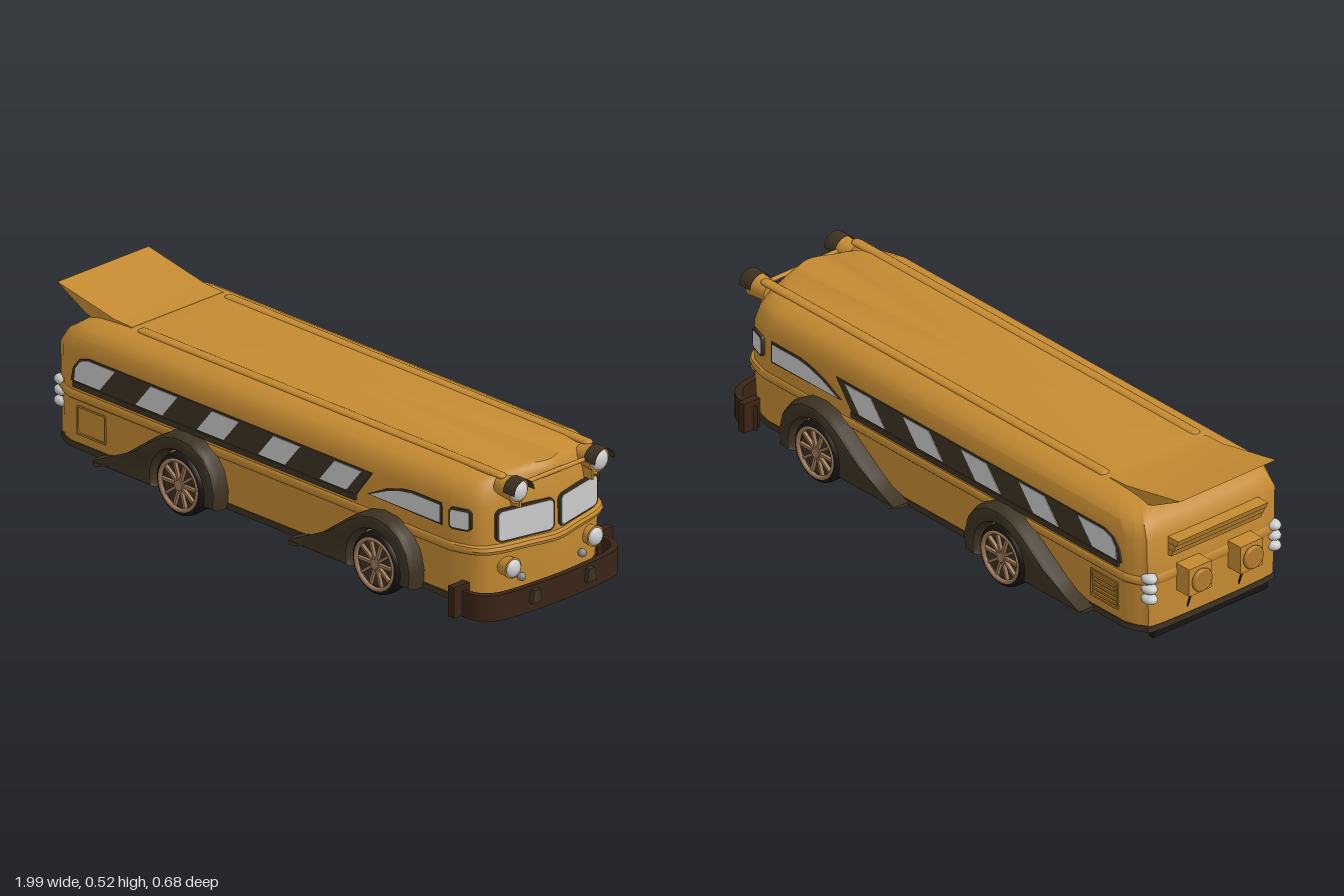
import * as THREE from 'three';
import { toCreasedNormals } from 'three/addons/utils/BufferGeometryUtils.js';

const mat = (color) => new THREE.MeshStandardMaterial({ color });
const yellow = mat(0xc48a32), amber = mat(0xb07a2a), brown = mat(0x3d3222), rust = mat(0x3a2416);
const black = mat(0x171513), grey = mat(0xcccccc), tan = mat(0xa07a58), steel = mat(0x8c8680);
const V2 = (x, y) => new THREE.Vector2(x, y);
const SIDES = [1, -1];

export function createModel() {
  const bus = new THREE.Group();
  bus.name = 'bus';

  const add = (name, geo, material, x = 0, y = 0, z = 0, parent = bus) => {
    const m = new THREE.Mesh(geo, material);
    m.name = name;
    m.position.set(x, y, z);
    parent.add(m);
    return m;
  };
  const box = (name, material, [x0, x1], [y0, y1], [z0, z1]) =>
    add(name, new THREE.BoxGeometry(x1 - x0, y1 - y0, z1 - z0), material, (x0 + x1) / 2, (y0 + y1) / 2, (z0 + z1) / 2);
  const poly = (pts) => new THREE.Shape(pts.map(([x, y]) => V2(x, y)));
  // slab centred on z = 0, so it serves either side of the body
  const slab = (shape, depth, bevel = 0, bevelThickness = bevel, bevelOffset = 0, bevelSegments = 1) => {
    const g = new THREE.ExtrudeGeometry(shape, { depth, curveSegments: 16, bevelEnabled: bevel > 0,
      bevelSize: bevel, bevelThickness, bevelOffset, bevelSegments });
    g.translate(0, 0, -depth / 2);
    return toCreasedNormals(g, 0.6);
  };
  const roundRect = (w, h, r) => {
    const s = new THREE.Shape(), a = w / 2 - r, b = h / 2 - r;
    s.absarc(a, b, r, 0, Math.PI / 2);
    s.absarc(-a, b, r, Math.PI / 2, Math.PI);
    s.absarc(-a, -b, r, Math.PI, Math.PI * 1.5);
    s.absarc(a, -b, r, Math.PI * 1.5, Math.PI * 2);
    return s;
  };

  // plan outline: shallow V nose with round corners, softly rounded tail
  const outline = (xb, xf, hw) => {
    const nose = [[0.165, hw], [0.085, hw - 0.028], [0.047, hw - 0.082], [0.022, hw * 0.36]];
    const tail = [[0.08, hw], [0.025, hw - 0.025], [0, hw - 0.085]];
    const front = [...nose.map(([d, z]) => V2(xf - d, -z)), V2(xf, 0), ...nose.reverse().map(([d, z]) => V2(xf - d, z))];
    const back = [...tail.map(([d, z]) => V2(xb + d, z)), ...tail.reverse().map(([d, z]) => V2(xb + d, -z))];
    return [...new THREE.SplineCurve(front).getPoints(32), ...new THREE.SplineCurve(back).getPoints(20)];
  };
  // stack of outlines [y, back, front, half width]
  const loft = (levels) => {
    const rings = levels.map(([y, ...o]) => outline(...o).map((p) => [p.x, y, p.y]));
    const n = rings[0].length, pos = rings.flat(2), idx = [], top = rings.length - 1;
    for (let j = 0; j < top; j++) for (let i = 0; i < n; i++) {
      const a = j * n + i, b = j * n + (i + 1) % n;
      idx.push(a, a + n, b, b, a + n, b + n);
    }
    const c = n * rings.length;
    pos.push(0, levels[0][0], 0, 0, levels[top][0], 0);
    for (let i = 0; i < n; i++) {
      const k = (i + 1) % n;
      idx.push(c, i, k, c + 1, top * n + k, top * n + i);
    }
    const g = new THREE.BufferGeometry();
    g.setAttribute('position', new THREE.Float32BufferAttribute(pos, 3));
    g.setIndex(idx);
    return toCreasedNormals(g, 0.6);
  };

  // body shell, belt and skirt
  add('body', loft([[0.06, -0.91, 0.955, 0.281], [0.22, -0.91, 0.965, 0.285], [0.375, -0.91, 0.96, 0.288],
    [0.42, -0.885, 0.95, 0.278], [0.445, -0.85, 0.945, 0.255], [0.46, -0.81, 0.94, 0.225], [0.47, -0.74, 0.93, 0.185]]), yellow);
  add('belt', loft([[0.216, -0.91, 0.962, 0.283], [0.222, -0.913, 0.976, 0.289], [0.233, -0.915, 0.98, 0.291],
    [0.244, -0.913, 0.976, 0.289], [0.25, -0.91, 0.962, 0.284]]), yellow);
  add('skirt', loft([[0.058, -0.912, 0.96, 0.285], [0.078, -0.912, 0.96, 0.285]]), brown);

  // spoiler on the tail of the roof
  add('spoiler', slab(poly([[-0.98, 0.522], [-0.86, 0.458], [-0.8, 0.44], [-0.66, 0.44], [-0.66, 0.471], [-0.74, 0.475]]), 0.385), yellow);

  // wheel: tyre, dark disc, rim and spokes
  const tyreGeo = new THREE.LatheGeometry([[0.075, -0.03], [0.089, -0.03], [0.098, -0.022], [0.1, -0.01], [0.1, 0.01],
    [0.098, 0.022], [0.089, 0.03], [0.075, 0.03]].map(([x, y]) => V2(x, y)), 36).rotateX(Math.PI / 2);
  const tyreMat = new THREE.MeshStandardMaterial({ color: 0x171513, side: THREE.DoubleSide });
  const wheel = (x, side, dual) => {
    const w = new THREE.Group();
    w.name = 'wheel';
    w.position.set(x, 0.1, side * 0.303);
    bus.add(w);
    add('tyre', tyreGeo, tyreMat, 0, 0, 0, w);
    if (dual) add('innerTyre', tyreGeo, tyreMat, 0, 0, -side * 0.068, w);
    add('wheelDisc', new THREE.CylinderGeometry(0.078, 0.078, 0.03, 32).rotateX(Math.PI / 2), brown, 0, 0, 0, w);
    add('rim', new THREE.TorusGeometry(0.08, 0.007, 8, 36), tan, 0, 0, side * 0.026, w);
    add('hub', new THREE.CylinderGeometry(0.017, 0.017, 0.03, 16).rotateX(Math.PI / 2), tan, 0, 0, side * 0.015, w);
    for (let i = 0; i < 10; i++) {
      const a = i * Math.PI / 5;
      add('spoke', new THREE.BoxGeometry(0.068, 0.009, 0.012), tan, Math.cos(a) * 0.045, Math.sin(a) * 0.045, side * 0.02, w).rotation.z = a;
    }
  };

  // swept fender, drawn around a wheel at x = 0
  const fender = poly([[0.16, 0.06], [0.165, 0.12], [0.15, 0.18], [0.115, 0.228], [0.06, 0.258], [0, 0.265], [-0.055, 0.253],
    [-0.11, 0.222], [-0.25, 0.12], [-0.3, 0.09], [-0.37, 0.072], [-0.37, 0.06]]);
  const cut = Math.asin(0.04 / 0.108);
  fender.absarc(0, 0.1, 0.108, Math.PI + cut, -cut, true);
  const fenderGeo = slab(fender, 0.082, 0.018, 0.03, -0.018, 3);

  // window: glass slab over a wider dark frame, laid along a plan chord
  const windowPane = (name, shape, [x0, z0], [x1, z1], y = 0, depth = 0.012) => {
    const g = new THREE.Group();
    g.name = name;
    g.position.set((x0 + x1) / 2, y, (z0 + z1) / 2);
    g.rotation.y = Math.atan2(z0 - z1, x1 - x0);
    bus.add(g);
    add('frame', slab(shape, depth - 0.004, 0.007, 0.001), brown, 0, 0, 0, g);
    add('glass', slab(shape, depth), grey, 0, 0, 0, g);
  };
  const driverWindow = poly([[-0.15, 0.3], [0.15, 0.3], [0.15, 0.358], [0.03, 0.358], [-0.02, 0.35], [-0.08, 0.331]]);

  // lamp facing +x with a bezel and domed lens
  const lamp = (name, x, y, z, r, length, bezel = yellow) => {
    add(name, new THREE.CylinderGeometry(r, r * 0.8, length, 24).rotateZ(-Math.PI / 2), bezel, x - length / 2, y, z);
    add(name + 'Lens', new THREE.SphereGeometry(r * 0.84, 20, 12).scale(0.55, 1, 1), grey, x, y, z);
  };

  for (const s of SIDES) {
    for (const x of [0.52, -0.32]) {
      wheel(x, s, x < 0);
      add('fender', fenderGeo, brown, x, 0, s * 0.271);
    }
    const rail = add('roofRail', new THREE.CapsuleGeometry(0.018, 1.53, 4, 12).rotateZ(Math.PI / 2), yellow, 0.145, 0.467, s * 0.182);
    rail.scale.y = 0.55;

    // passenger window band with slanted light panes and a sill
    add('windowBand', slab(poly([[-0.822, 0.28], [0.4, 0.28], [0.47, 0.37], [-0.745, 0.37], [-0.785, 0.358], [-0.812, 0.325]]), 0.01), brown, 0, 0, s * 0.287);
    for (let i = 0; i < 5; i++) {
      const x = -0.805 + i * 0.263;
      const pts = i ? [[x, 0.285], [x + 0.115, 0.285], [x + 0.18, 0.364], [x + 0.065, 0.364]]
        : [[x, 0.285], [x + 0.11, 0.285], [x + 0.175, 0.364], [x + 0.06, 0.364], [x + 0.025, 0.352], [x + 0.005, 0.325]];
      add('passengerWindow', slab(poly(pts), 0.01), grey, 0, 0, s * 0.289);
    }
    box('windowSill', brown, [-0.81, 0.4], [0.262, 0.28], [s * 0.288 - 0.008, s * 0.288 + 0.008]);
    windowPane('driverWindow', driverWindow, [0.46, s * 0.287], [0.76, s * 0.287]);
    windowPane('cornerWindow', roundRect(0.062, 0.056, 0.008), [0.807, s * 0.289], [0.866, s * 0.269], 0.33, 0.014);
    windowPane('windshield', roundRect(0.194, 0.094, 0.015), [0.962, s * 0.013], [0.919, s * 0.208], 0.309, 0.016);

    // side hatch
    const hatch = roundRect(0.125, 0.095, 0.004);
    hatch.holes.push(roundRect(0.113, 0.083, 0.003));
    add('hatchFrame', slab(hatch, 0.008), amber, -0.74, 0.155, s * 0.284);

    // front lamps
    lamp('headlight', 0.955, 0.173, s * 0.173, 0.034, 0.05);
    lamp('roofLamp', 0.975, 0.432, s * 0.17, 0.04, 0.075);
    add('lampVisor', new THREE.CylinderGeometry(0.042, 0.042, 0.05, 20, 1, true, Math.PI, Math.PI).rotateZ(-Math.PI / 2),
      new THREE.MeshStandardMaterial({ color: 0x3d3222, side: THREE.DoubleSide }), 0.975, 0.432, s * 0.17);
    box('lampBracket', yellow, [0.92, 0.965], [0.368, 0.41], [s * 0.153 - 0.004, s * 0.153 + 0.004]);
    add('fogLamp', new THREE.SphereGeometry(0.014, 16, 10), steel, 0.945, 0.13, s * 0.128);

    // bumper ends and overriders
    box('bumperEnd', rust, [0.84, 0.866], [0.03, 0.13], [s * 0.303 - 0.032, s * 0.303 + 0.032]);
    add('overrider', slab(poly([[-0.02, 0.058], [0.02, 0.058], [0.012, 0.1], [-0.012, 0.1]]), 0.03).rotateY(Math.PI / 2), brown, 0.985, 0, s * 0.116);

    // rear lamps and round exhaust housings
    for (const y of [0.175, 0.21, 0.245]) add('tailLamp', new THREE.SphereGeometry(0.023, 16, 12).scale(1.25, 0.75, 1), grey, -0.902, y, s * 0.248);
    box('exhaustHousing', yellow, [-0.97, -0.9], [0.172, 0.265], [s * 0.103 - 0.045, s * 0.103 + 0.045]);
    add('exhaustRing', new THREE.TorusGeometry(0.031, 0.008, 8, 24).rotateY(Math.PI / 2), amber, -0.978, 0.218, s * 0.103);
    add('exhaustDisc', new THREE.CylinderGeometry(0.03, 0.03, 0.03, 24).rotateZ(Math.PI / 2), amber, -0.97, 0.218, s * 0.103);
    const strut = add('rearStrut', new THREE.CylinderGeometry(0.003, 0.003, 0.11, 6), black, -0.922, 0.13, s * 0.103);
    strut.rotation.z = 0.35;
  }

  // bar between the roof lamps
  add('lampBar', new THREE.CylinderGeometry(0.007, 0.007, 0.27, 10).rotateX(Math.PI / 2), yellow, 0.95, 0.437, 0);

  // wrap-around bumper
  const half = [[0.85, 0.302], [0.915, 0.297], [0.96, 0.262], [0.978, 0.2], [0.986, 0.1]];
  const arc = new THREE.SplineCurve([...half.map(([x, z]) => V2(x, -z)), V2(0.99, 0), ...half.reverse().map(([x, z]) => V2(x, z))]).getPoints(36);
  const band = new THREE.Shape([...arc, ...arc.map((p) => V2(p.x - 0.02, p.y * 0.955)).reverse()]);
  add('bumper', slab(band, 0.084).rotateX(Math.PI / 2), rust, 0, 0.069, 0);

  // louvres on one side hatch and across the upper tail
  for (let i = 0; i < 5; i++) box('sideLouvre', amber, [-0.79, -0.69], [0.12 + i * 0.015, 0.128 + i * 0.015], [-0.289, -0.278]);
  for (let i = 0; i < 3; i++) {
    const y = 0.305 + i * 0.022, x = -0.925 - i * 0.012;
    add('rearLouvre', slab(poly([[-0.88, y], [x, y], [x - 0.008, y + 0.02], [-0.88, y + 0.02]]), 0.36), yellow);
  }

  // rear fork: crossbar and tines
  box('forkBar', black, [-0.9, -0.88], [0.03, 0.052], [-0.23, 0.23]);
  for (let i = 0; i < 6; i++) {
    const z = -0.21 + i * 0.084;
    box('forkTine', black, [-0.9, -0.74], [0.036, 0.048], [z - 0.009, z + 0.009]);
  }
  return bus;
}
